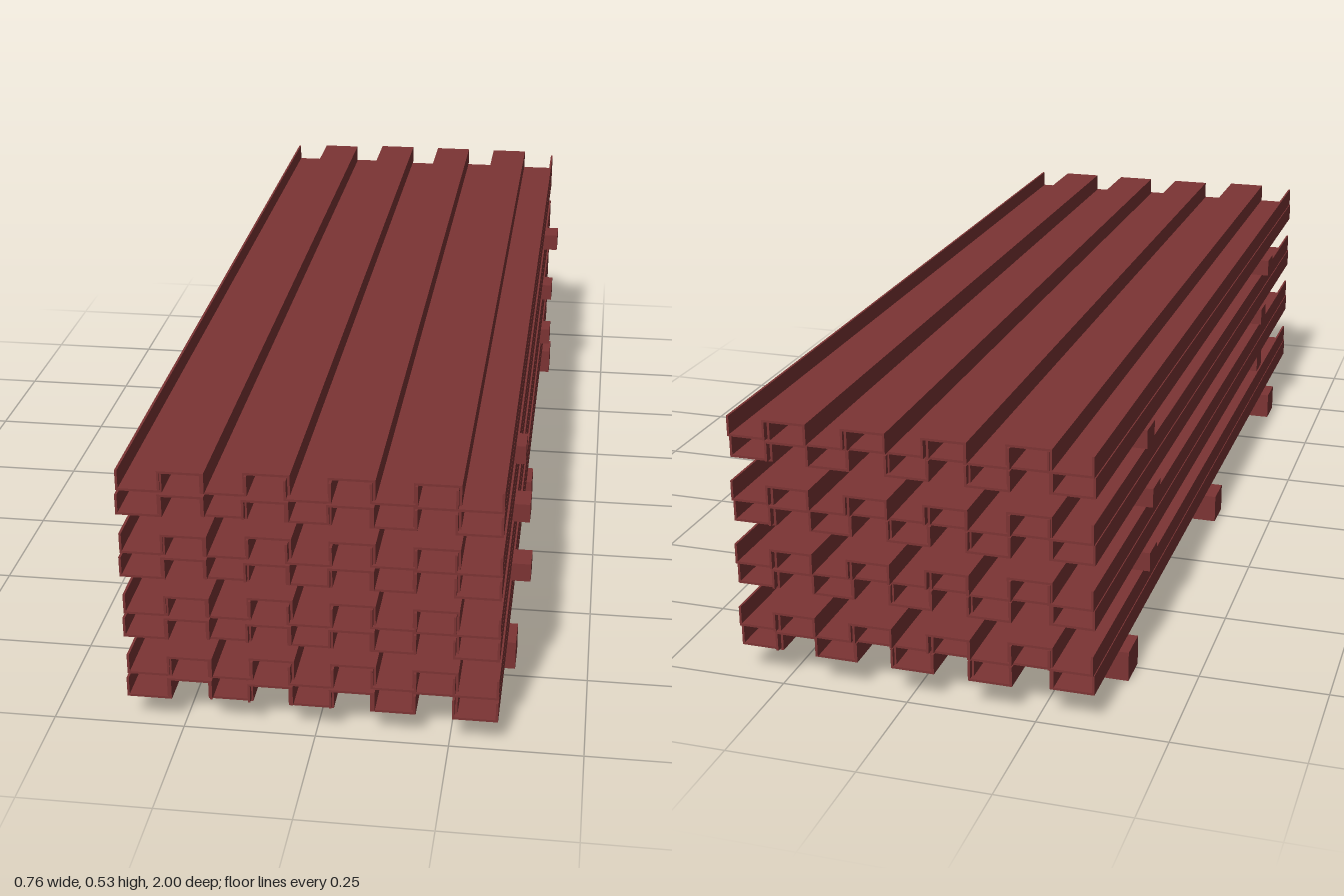
import * as THREE from 'three';

export function createModel() {
  const model = new THREE.Group();
  const steel = new THREE.MeshStandardMaterial({ color: 0x7c3434 });
  steel.name = 'red oxide steel';

  // U-shaped channel section, open at the top, base on y = 0
  const W = 0.0425, H = 0.04, T = 0.0045, LENGTH = 1.98;
  const section = new THREE.Shape([
    [-W, 0], [W, 0], [W, H], [W - T, H], [W - T, T], [-W + T, T], [-W + T, H], [-W, H],
  ].map(([x, y]) => new THREE.Vector2(x, y)));
  const channelGeo = new THREE.ExtrudeGeometry(section, { depth: LENGTH, bevelEnabled: false });
  channelGeo.translate(0, 0, -LENGTH / 2);

  const addChannel = (parent, name, x, y, shift, inverted) => {
    const mesh = new THREE.Mesh(channelGeo, steel);
    mesh.name = name;
    mesh.position.set(x, y, shift);
    if (inverted) mesh.rotation.z = Math.PI;
    parent.add(mesh);
  };

  const addBeam = (name, x0, x1, y0, y1, z, depth) => {
    const mesh = new THREE.Mesh(new THREE.BoxGeometry(x1 - x0, y1 - y0, depth), steel);
    mesh.name = name;
    mesh.position.set((x0 + x1) / 2, (y0 + y1) / 2, z);
    model.add(mesh);
  };

  // Bundles: two rows each of upright channels locked into inverted ones
  const uprightShift = [0, -0.004, 0.004, -0.003, 0.003];
  const invertedShift = [0.003, -0.01, -0.01, -0.009];
  const lowerShift = [0.01, -0.002, 0.002, 0.004, 0.01];
  [0.06, 0.19, 0.318, 0.446].forEach((base, layer) => {
    const bundle = new THREE.Group();
    bundle.name = `channelBundle${layer + 1}`;
    for (let row = 0; row < 2; row++) {
      const y = base + row * 0.0435;
      for (let i = 0; i < 5; i++) {
        const shift = row ? uprightShift[i] : lowerShift[i];
        addChannel(bundle, 'uprightChannel', -0.313 + i * 0.1527, y, shift, false);
        if (i < 4) {
          const lift = row ? invertedShift[i] : -invertedShift[3 - i];
          addChannel(bundle, 'invertedChannel', -0.236 + i * 0.1527, y + T + H, lift, true);
        }
      }
    }
    model.add(bundle);
  });

  // Ground bearers
  addBeam('groundBearer', -0.375, 0.357, 0, 0.06, 0.69, 0.072);
  addBeam('groundBearer', -0.38, 0.352, 0, 0.06, 0, 0.072);
  addBeam('groundBearer', -0.375, 0.36, 0, 0.06, -0.77, 0.072);

  // Spacer beams between bundles: x0, x1, y0, y1, z
  [
    [-0.355, 0.378, 0.15, 0.189, 0.61],
    [-0.372, 0.362, 0.15, 0.189, -0.605],
    [-0.363, 0.372, 0.279, 0.318, 0.602],
    [-0.372, 0.363, 0.279, 0.318, -0.588],
    [-0.375, 0.36, 0.408, 0.446, 0.605],
    [-0.363, 0.372, 0.408, 0.446, -0.606],
  ].forEach((b) => addBeam('spacerBeam', ...b, 0.058));

  return model;
}
